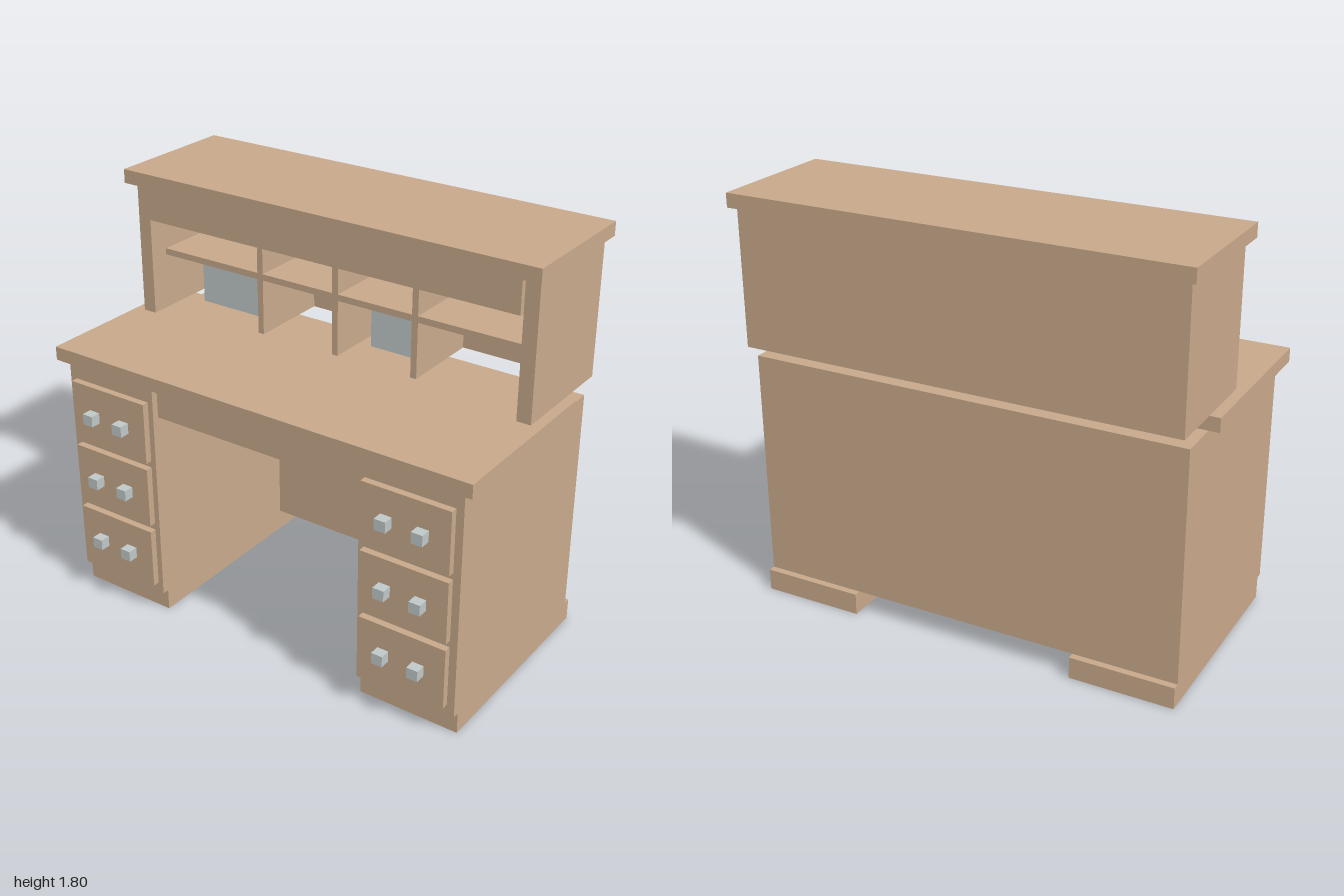
import * as THREE from 'three';

export function createModel() {
  const model = new THREE.Group();
  model.name = 'deskWithHutch';

  const wood = new THREE.MeshStandardMaterial({ color: 0xc8a98b });
  wood.name = 'wood';
  const grey = new THREE.MeshStandardMaterial({ color: 0xc0c7c7 });
  grey.name = 'paleGrey';

  // Adds a box given its extents along each axis
  function box(name, [x0, x1], [y0, y1], [z0, z1], material = wood) {
    const mesh = new THREE.Mesh(new THREE.BoxGeometry(x1 - x0, y1 - y0, z1 - z0), material);
    mesh.position.set((x0 + x1) / 2, (y0 + y1) / 2, (z0 + z1) / 2);
    mesh.name = name;
    model.add(mesh);
  }

  // Extents mirrored to the chosen side
  const side = (s, a, b) => (s > 0 ? [a, b] : [-b, -a]);

  // Desk: work surface, apron over the knee space and back panel
  box('desktop', [-1, 1], [1.095, 1.155], [-0.28, 0.51]);
  box('apron', [-0.505, 0.505], [0.945, 1.095], [0.42, 0.45]);
  box('modestyPanel', [-0.505, 0.505], [0.095, 1.095], [-0.46, -0.37]);

  // Pedestals with plinths, drawers and paired knobs
  const drawers = [[0.142, 0.412], [0.442, 0.715], [0.745, 1.018]];
  for (const s of [-1, 1]) {
    const label = s > 0 ? 'left' : 'right';
    box(label + 'Pedestal', side(s, 0.505, 0.955), [0.095, 1.095], [-0.46, 0.48]);
    box(label + 'Plinth', side(s, 0.505, 0.955), [0, 0.095], [-0.49, 0.45]);
    for (const y of drawers) {
      const mid = (y[0] + y[1]) / 2;
      box(label + 'DrawerFront', side(s, 0.53, 0.922), y, [0.48, 0.51]);
      for (const x of [0.645, 0.805]) {
        box(label + 'Knob', side(s, x - 0.025, x + 0.025), [mid - 0.022, mid + 0.026], [0.51, 0.555], grey);
      }
    }
    // Hutch side
    box(label + 'HutchSide', side(s, 0.893, 0.955), [1.155, 1.745], [-0.52, 0]);
  }

  // Hutch: top, back, frieze, shelf and dividers
  box('hutchTop', [-0.98, 0.98], [1.745, 1.805], [-0.55, 0.05]);
  box('hutchBack', [-0.893, 0.893], [1.155, 1.745], [-0.52, -0.46]);
  box('frieze', [-0.893, 0.893], [1.595, 1.745], [-0.005, 0.025]);
  box('shelf', [-0.893, 0.893], [1.4, 1.428], [-0.46, -0.09]);
  for (const x of [-0.38, 0, 0.38]) {
    box('divider', [x - 0.014, x + 0.014], [1.155, 1.595], [-0.46, -0.09]);
  }

  // Grey items standing in the compartments
  box('leftCompartmentItem', [0.073, 0.342], [1.155, 1.338], [-0.4, -0.25], grey);
  box('rightCompartmentItem', [-0.803, -0.478], [1.155, 1.37], [-0.3, -0.23], grey);

  return model;
}
